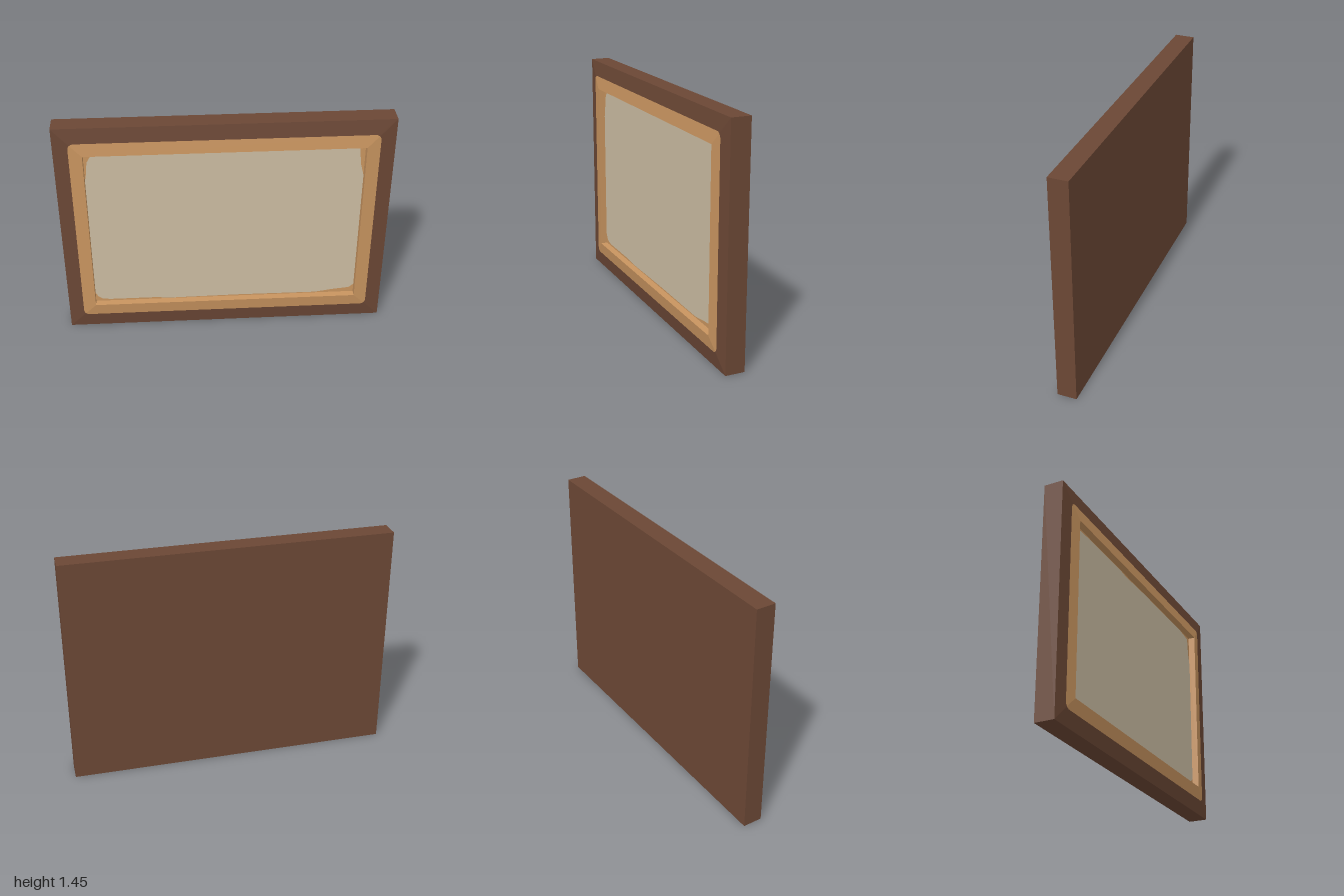
import * as THREE from 'three';

const W = 1, H = 0.725;              // half size of the outer frame
const IW = 0.83, IH = 0.55;          // half size of the opening
const CY = 0.725;                    // height of the centre
const BACK = -0.07, RIM = 0.05, PANEL = 0.028;

// Height of the gently mitred front slope
const slopeZ = (x, y) =>
  RIM + 0.022 * Math.min((W - Math.abs(x)) / (W - IW), (H - Math.abs(y)) / (H - IH));

// Rounded rectangle ring, counterclockwise from the front, with equal point counts
function ring(w, h, r, z, steps = 8) {
  const points = [];
  [[1, 1], [-1, 1], [-1, -1], [1, -1]].forEach(([sx, sy], c) => {
    for (let i = 0; i <= steps; i++) {
      const a = (c + i / steps) * Math.PI / 2;
      const x = sx * (w - r) + r * Math.cos(a), y = sy * (h - r) + r * Math.sin(a);
      points.push(new THREE.Vector3(x, y, z === undefined ? slopeZ(x, y) : z));
    }
  });
  return points;
}

// Skin between successive rings with flat faces
function loft(rings) {
  const out = [];
  const tri = new THREE.Triangle();
  const add = (a, b, c) => {
    tri.set(a, b, c);
    if (tri.getArea() > 1e-9) [a, b, c].forEach(p => out.push(p.x, p.y, p.z));
  };
  for (let k = 0; k < rings.length - 1; k++) {
    const p = rings[k], q = rings[k + 1], n = p.length;
    for (let j = 0; j < n; j++) {
      const m = (j + 1) % n;
      add(p[j], p[m], q[m]);
      add(p[j], q[m], q[j]);
    }
  }
  const g = new THREE.BufferGeometry();
  g.setAttribute('position', new THREE.Float32BufferAttribute(out, 3));
  g.computeVertexNormals();
  return g;
}

export function createModel() {
  const group = new THREE.Group();
  const material = (name, color) => {
    const m = new THREE.MeshStandardMaterial({ color });
    m.name = name;
    return m;
  };
  const darkWood = material('dark wood', 0x6b4735);
  const lightWood = material('light wood', 0xc8945f);
  const canvas = material('canvas', 0xcbbca2);

  const add = (name, geometry, mat, z = 0) => {
    const mesh = new THREE.Mesh(geometry, mat);
    mesh.name = name;
    mesh.position.set(0, CY, z);
    group.add(mesh);
  };

  // Dark body: back, sides and outer part of the front slope
  const border = ring(0.91, 0.63, 0.035);
  add('outerFrame', loft([
    ring(0, 0, 0, BACK), ring(W, H, 0, BACK), ring(W, H, 0), border,
  ]), darkWood);

  // Light inner part of the slope and the walls of the opening
  add('innerFrame', loft([border, ring(IW, IH, 0), ring(IW, IH, 0, PANEL)]), lightWood);

  // Recessed backing showing at the worn panel edges
  add('panelBacking', new THREE.PlaneGeometry(2 * IW, 2 * IH), lightWood, PANEL);

  // Pale panel with a slightly irregular outline
  const outline = [
    [-0.83, -0.48], [-0.815, -0.51], [-0.79, -0.53], [-0.74, -0.537], [-0.45, -0.537],
    [-0.35, -0.545], [0.1, -0.54], [0.58, -0.543], [0.7, -0.525], [0.8, -0.515],
    [0.83, -0.49], [0.83, 0.34], [0.808, 0.42], [0.797, 0.53], [0.74, 0.538],
    [0.68, 0.545], [0.1, 0.546], [-0.16, 0.538], [-0.25, 0.546], [-0.6, 0.543],
    [-0.75, 0.538], [-0.79, 0.523], [-0.812, 0.485], [-0.818, 0.42], [-0.83, 0.36],
  ].map(p => new THREE.Vector2(...p));
  add('panel', new THREE.ShapeGeometry(new THREE.Shape(outline)), canvas, PANEL + 0.002);

  return group;
}
